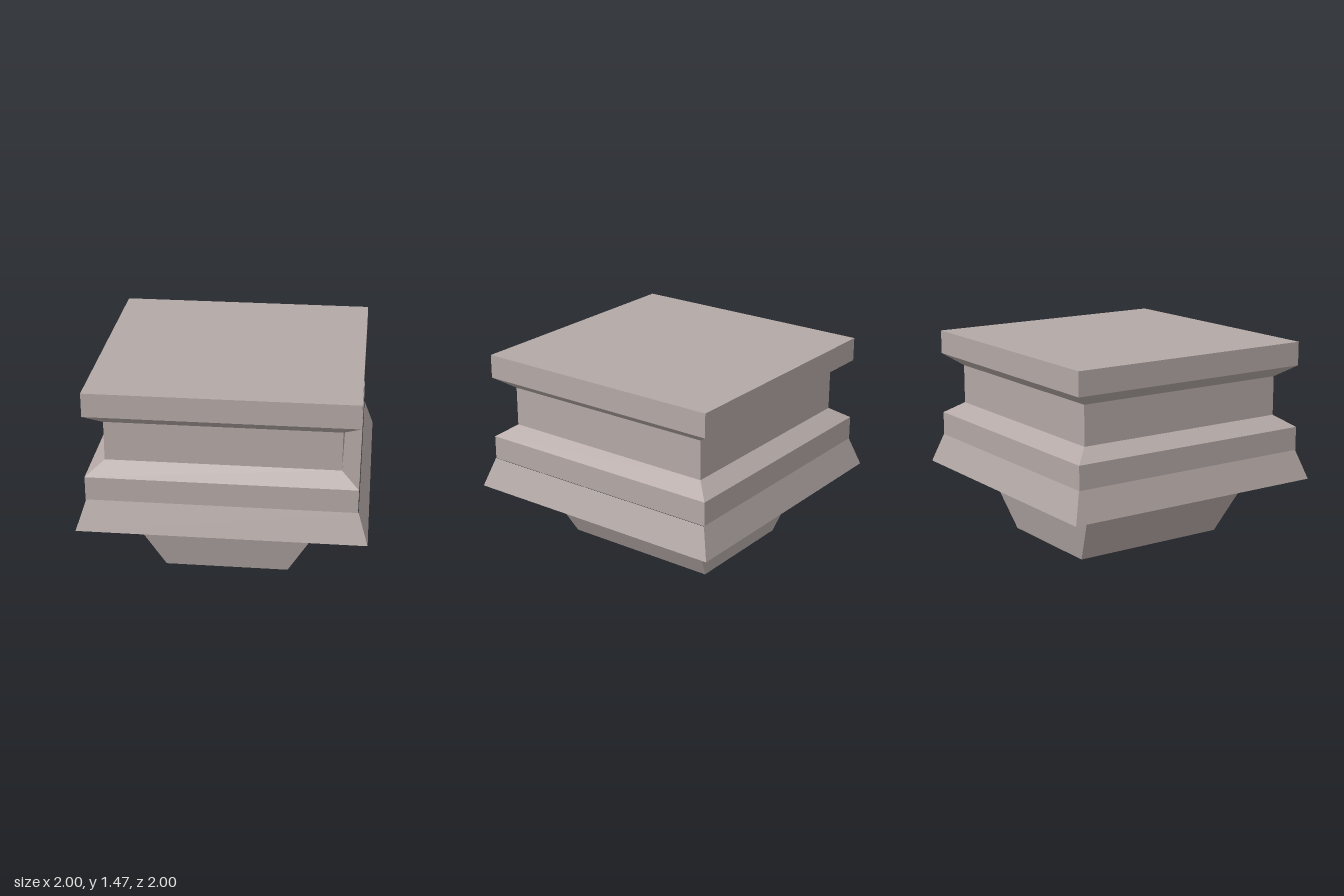
import * as THREE from 'three';

const stone = new THREE.MeshStandardMaterial({ color: 0xb3a8a5 });
stone.name = 'warm grey stone';

// Flat-faced loft through rectangular sections [y, halfX, halfZ], listed bottom to top
function loft(name, sections, { bottom = false, top = false } = {}) {
  const rings = sections.map(([y, hx, hz]) => [
    [-hx, y, hz], [hx, y, hz], [hx, y, -hz], [-hx, y, -hz],
  ]);
  const points = [];
  const quad = (a, b, c, d) => points.push(...a, ...b, ...c, ...a, ...c, ...d);
  for (let i = 0; i < rings.length - 1; i++) {
    for (let k = 0; k < 4; k++) {
      const n = (k + 1) % 4;
      quad(rings[i][k], rings[i][n], rings[i + 1][n], rings[i + 1][k]);
    }
  }
  if (bottom) quad(...[...rings[0]].reverse());
  if (top) quad(...rings[rings.length - 1]);

  const geometry = new THREE.BufferGeometry();
  geometry.setAttribute('position', new THREE.Float32BufferAttribute(points, 3));
  geometry.computeVertexNormals();
  const mesh = new THREE.Mesh(geometry, stone);
  mesh.name = name;
  return mesh;
}

export function createModel() {
  const model = new THREE.Group();
  model.name = 'steppedBlock';

  // Tapered foot, narrower across x than z at the ground
  const foot = loft('foot', [[0, 0.438, 0.592], [0.463, 0.7, 0.7]], { bottom: true });

  // Flared skirt, straight band and sloped shoulder
  const skirt = loft('skirt', [[0.463, 1, 1], [0.675, 0.93, 0.93]], { bottom: true });
  const band = loft('band', [[0.675, 0.93, 0.93], [0.845, 0.93, 0.93], [0.928, 0.81, 0.81]]);

  // Recessed neck
  const neck = loft('neck', [[0.928, 0.81, 0.81], [1.21, 0.81, 0.81]]);

  // Overhanging cap with bevelled underside
  const cap = loft('cap', [[1.21, 0.81, 0.81], [1.295, 0.93, 0.93], [1.465, 0.93, 0.93]], { top: true });

  // The upper courses sit very slightly to one side of the skirt
  for (const part of [band, neck, cap]) part.position.x = -0.004;

  model.add(foot, skirt, band, neck, cap);
  return model;
}
